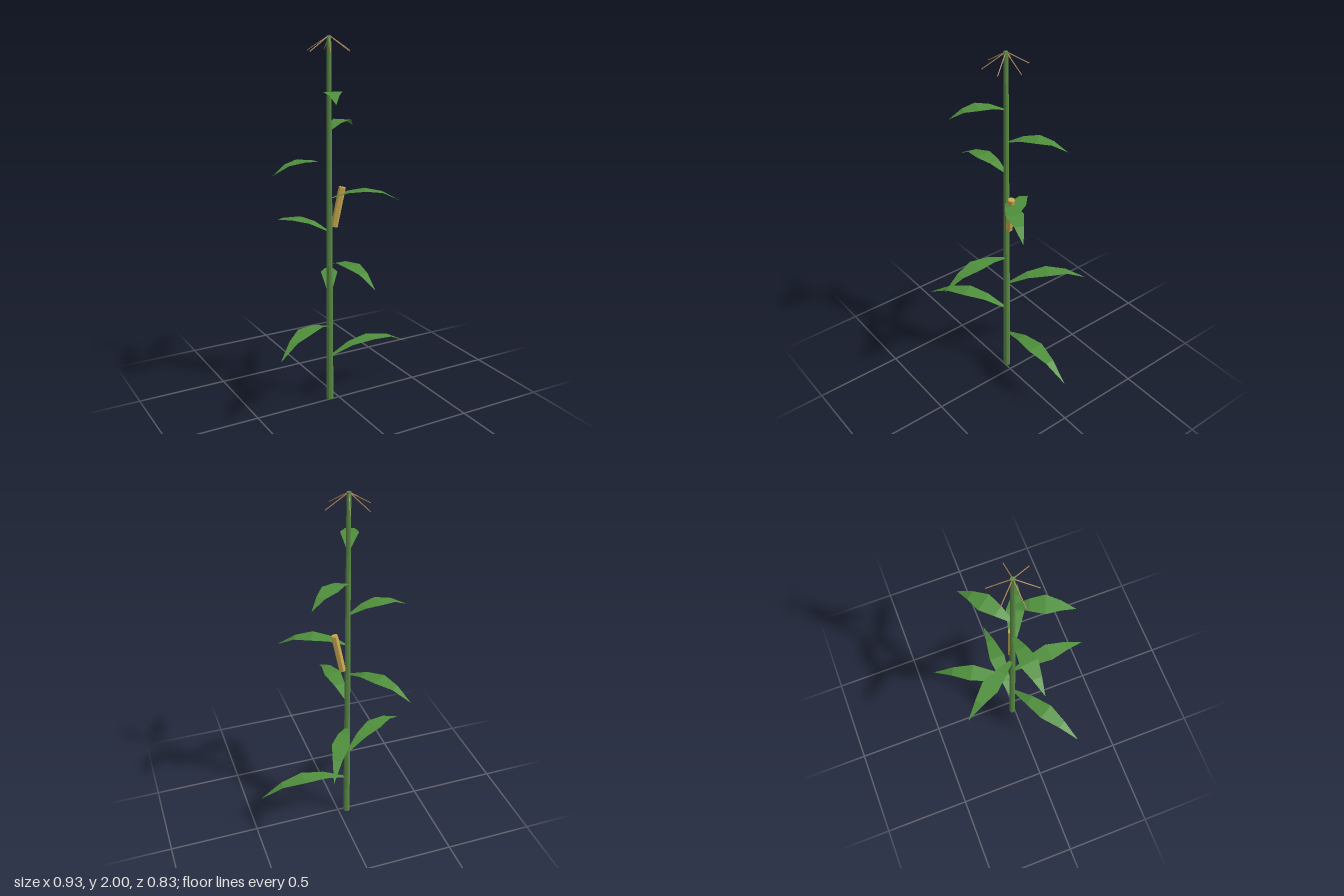
import * as THREE from 'three';

const mat = (name, color, extra = {}) => {
  const m = new THREE.MeshStandardMaterial({ color, flatShading: true, ...extra });
  m.name = name;
  return m;
};

// Cylinder running between two points
function rod(name, from, to, rFrom, rTo, sides, material) {
  const dir = to.clone().sub(from);
  const mesh = new THREE.Mesh(new THREE.CylinderGeometry(rTo, rFrom, dir.length(), sides), material);
  mesh.position.copy(from).addScaledVector(dir, 0.5);
  mesh.quaternion.setFromUnitVectors(new THREE.Vector3(0, 1, 0), dir.normalize());
  mesh.name = name;
  return mesh;
}

// Flat arching blade along +x: stations of [share of length, half width, rise per length]
function leafGeometry(length) {
  const stations = [
    [0.02, 0.008, 0],
    [0.26, 0.031, 0.088],
    [0.51, 0.048, 0.115],
    [0.755, 0.025, 0.078],
    [1, 0.0005, -0.048],
  ];
  const pos = [], index = [];
  stations.forEach(([t, w, rise], i) => {
    pos.push(t * length, rise * length, -w, t * length, rise * length, w);
    if (i) {
      const a = 2 * i - 2;
      index.push(a, a + 1, a + 2, a + 1, a + 3, a + 2);
    }
  });
  const g = new THREE.BufferGeometry();
  g.setAttribute('position', new THREE.Float32BufferAttribute(pos, 3));
  g.setIndex(index);
  const flat = g.toNonIndexed();
  flat.computeVertexNormals();
  return flat;
}

export function createModel() {
  const stalkGreen = mat('stalk green', 0x5a8a45);
  const leafGreen = mat('leaf green', 0x4f8f3c, { side: THREE.DoubleSide });
  const cobYellow = mat('cob yellow', 0xc9a850);
  const tasselTan = mat('tassel tan', 0xa98558);

  const model = new THREE.Group();
  model.name = 'cornPlant';
  const plant = new THREE.Group();
  plant.name = 'plant';
  plant.position.set(-0.05, 0, -0.014);
  model.add(plant);
  const v = (x, y, z) => new THREE.Vector3(x, y, z);

  // Tapering stalk
  plant.add(rod('stalk', v(0, 0, 0), v(0, 1.998, 0), 0.02, 0.012, 8, stalkGreen));

  // Leaves spiral up the stalk, getting shorter
  for (let i = 0; i < 9; i++) {
    const leaf = new THREE.Mesh(leafGeometry(0.515 - 0.0285 * i), leafGreen);
    leaf.name = 'leaf' + (i + 1);
    leaf.position.y = 0.26 + 0.18 * i;
    leaf.rotation.y = -2.6 * i;
    plant.add(leaf);
  }

  // Leaning cob
  plant.add(rod('cob', v(0.027, 1.003, 0.003), v(0.067, 1.217, 0.019), 0.019, 0.019, 6, cobYellow));

  // Drooping tassel strands
  const tassel = new THREE.Group();
  tassel.name = 'tassel';
  for (let a = 0; a < 6; a++) {
    const tip = v(0.118 * Math.cos(a), 1.922, 0.118 * Math.sin(a));
    tassel.add(rod('strand' + (a + 1), v(0, 1.997, 0), tip, 0.003, 0.0025, 5, tasselTan));
  }
  plant.add(tassel);
  return model;
}
